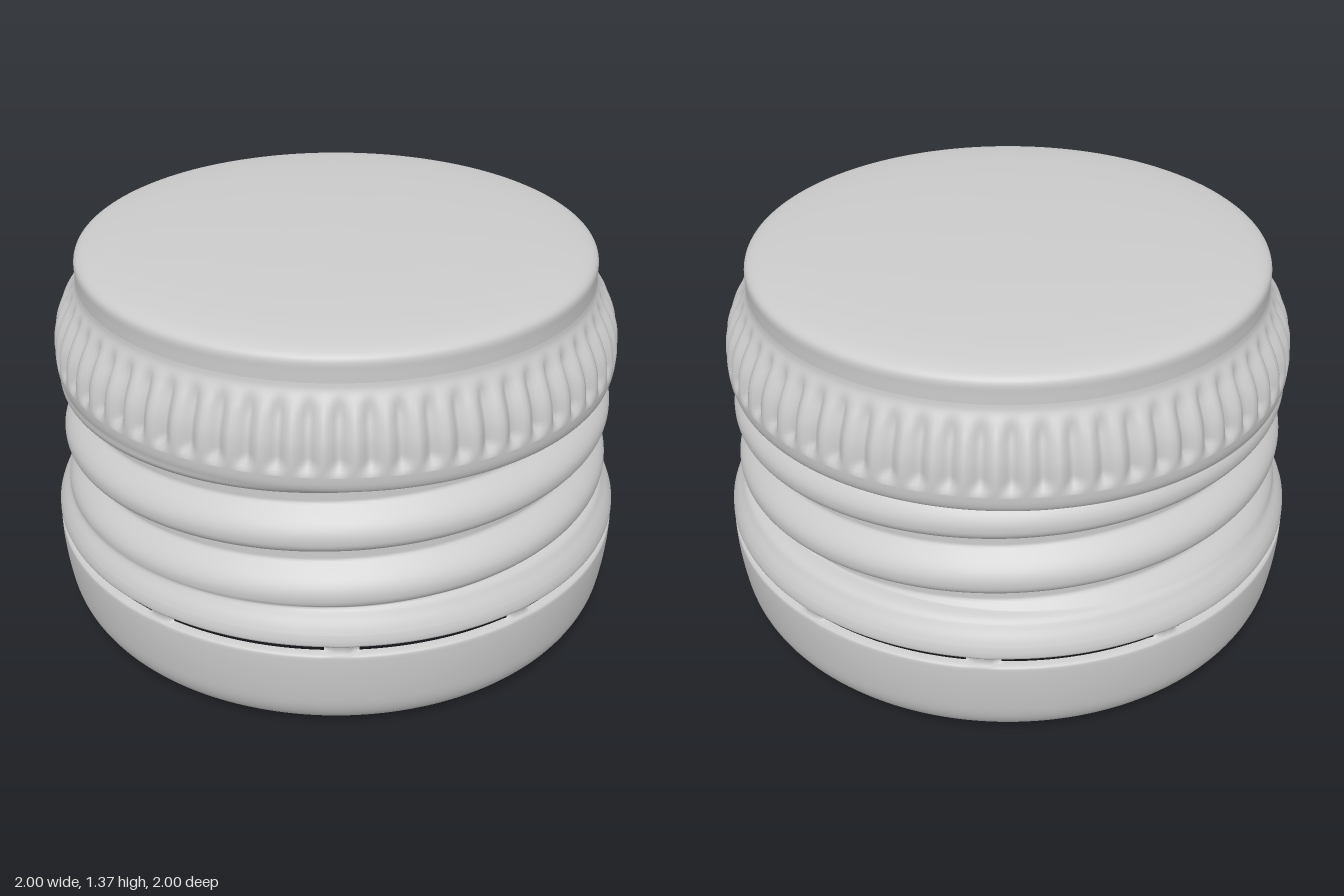
import * as THREE from 'three';

const SEG = 384;          // columns around the cap
const FLUTES = 64;
const SLOTS = 10;
const PITCH = 0.21;       // rise of the thread per turn
const TAU = Math.PI * 2;

const material = new THREE.MeshStandardMaterial({ color: 0xcccccc, side: THREE.DoubleSide });

// Smooth list of [r, y] points through the given ones
function smooth(points, n) {
  return new THREE.SplineCurve(points.map(([r, y]) => new THREE.Vector2(r, y)))
    .getPoints(n).map(p => [p.x, p.y]);
}

// Turned shell: rows of [r, y], a rule for the radius, and a rule for cells left open.
// The angle runs from the front (+z) towards +x.
function shell(name, rows, radius = r => r, open = () => false) {
  const pos = [], index = [];
  rows.forEach(([r, y], i) => {
    for (let j = 0; j < SEG; j++) {
      const a = j / SEG * TAU, q = radius(r, y, a);
      pos.push(q * Math.sin(a), y, q * Math.cos(a));
      if (i === rows.length - 1) continue;
      if (open((y + rows[i + 1][1]) / 2, (j + 0.5) / SEG * TAU)) continue;
      const k = (j + 1) % SEG, lo = i * SEG, hi = lo + SEG;
      index.push(lo + j, lo + k, hi + k, lo + j, hi + k, hi + j);
    }
  });
  const geometry = new THREE.BufferGeometry();
  geometry.setAttribute('position', new THREE.Float32BufferAttribute(pos, 3));
  geometry.setIndex(index);
  geometry.computeVertexNormals();
  const mesh = new THREE.Mesh(geometry, material);
  mesh.name = name;
  return mesh;
}

// Angle in degrees from the nearest bridge between two slots
function bridgeDistance(a) {
  const step = 360 / SLOTS;
  const d = (((a * 180 / Math.PI - 15) % step) + step) % step;
  return Math.min(d, step - d);
}

// Height of the rolled thread above the groove floor
function threadHeight(y, a) {
  let d = (y - 0.695 - PITCH * a / TAU) % PITCH;
  if (d < 0) d += PITCH;
  const below = Math.max(0, 1 - Math.pow((PITCH - d) / 0.068, 3));
  const above = Math.pow(Math.max(0, 1 - (d / 0.1) ** 2), 1.2);
  return 0.07 * Math.max(below, above);
}

export function createModel() {
  const group = new THREE.Group();
  group.name = 'screwCap';

  // Tamper band: rounded foot, slots with lips turned inward, narrow bridges between
  const bandRows = [
    ...smooth([[0.86, 0], [0.9, 0.012], [0.945, 0.045], [0.975, 0.1], [0.99, 0.18], [0.998, 0.26], [1, 0.318]], 22),
    [0.998, 0.324], [0.99, 0.329], [0.972, 0.331],
    [0.972, 0.355], [0.99, 0.357], [0.998, 0.362],
    [1, 0.368], [0.999, 0.385], [0.993, 0.402],
  ];
  group.add(shell('tamperBand', bandRows,
    (r, y, a) => {
      if (y < 0.32 || y > 0.365) return r;
      const inSlot = THREE.MathUtils.smoothstep(bridgeDistance(a), 1.2, 3.2);
      return THREE.MathUtils.lerp(1 - (1 - r) * 0.5, r, inSlot);
    },
    (y, a) => y > 0.332 && y < 0.354 && bridgeDistance(a) > 3));

  // Threaded wall: the thread runs out into the shoulder below and the skirt above
  const wallRows = [
    ...smooth([[0.993, 0.402], [0.982, 0.425], [0.965, 0.45], [0.95, 0.472], [0.925, 0.484], [0.888, 0.489]], 14),
  ];
  for (let y = 0.495; y < 0.884; y += 0.006) wallRows.push([0.888, y]);
  wallRows.push(...smooth([[0.888, 0.886], [0.925, 0.889], [0.952, 0.9], [0.963, 0.925], [0.966, 0.955]], 12));
  group.add(shell('threadedWall', wallRows,
    (r, y, a) => Math.max(r, 0.888 + threadHeight(y, a))));

  // Fluted grip
  const gripRows = smooth([[0.966, 0.955], [0.967, 1], [0.958, 1.06], [0.935, 1.12], [0.908, 1.165], [0.886, 1.2], [0.88, 1.225]], 26);
  group.add(shell('flutedGrip', gripRows, (r, y, a) => {
    const ends = THREE.MathUtils.smoothstep(y, 0.955, 1.0) * (1 - THREE.MathUtils.smoothstep(y, 1.12, 1.2));
    const wave = 0.5 + 0.5 * Math.cos(a * FLUTES);
    return r - 0.03 * ends * Math.pow(wave, 1.5);
  }));

  // Neck and gently domed lid
  const lidRows = [
    ...smooth([[0.88, 1.225], [0.88, 1.26], [0.88, 1.288], [0.871, 1.306], [0.845, 1.32], [0.79, 1.332],
      [0.68, 1.346], [0.45, 1.36], [0.2, 1.367]], 26),
    [0.0001, 1.368],
  ];
  group.add(shell('lid', lidRows));

  return group;
}
